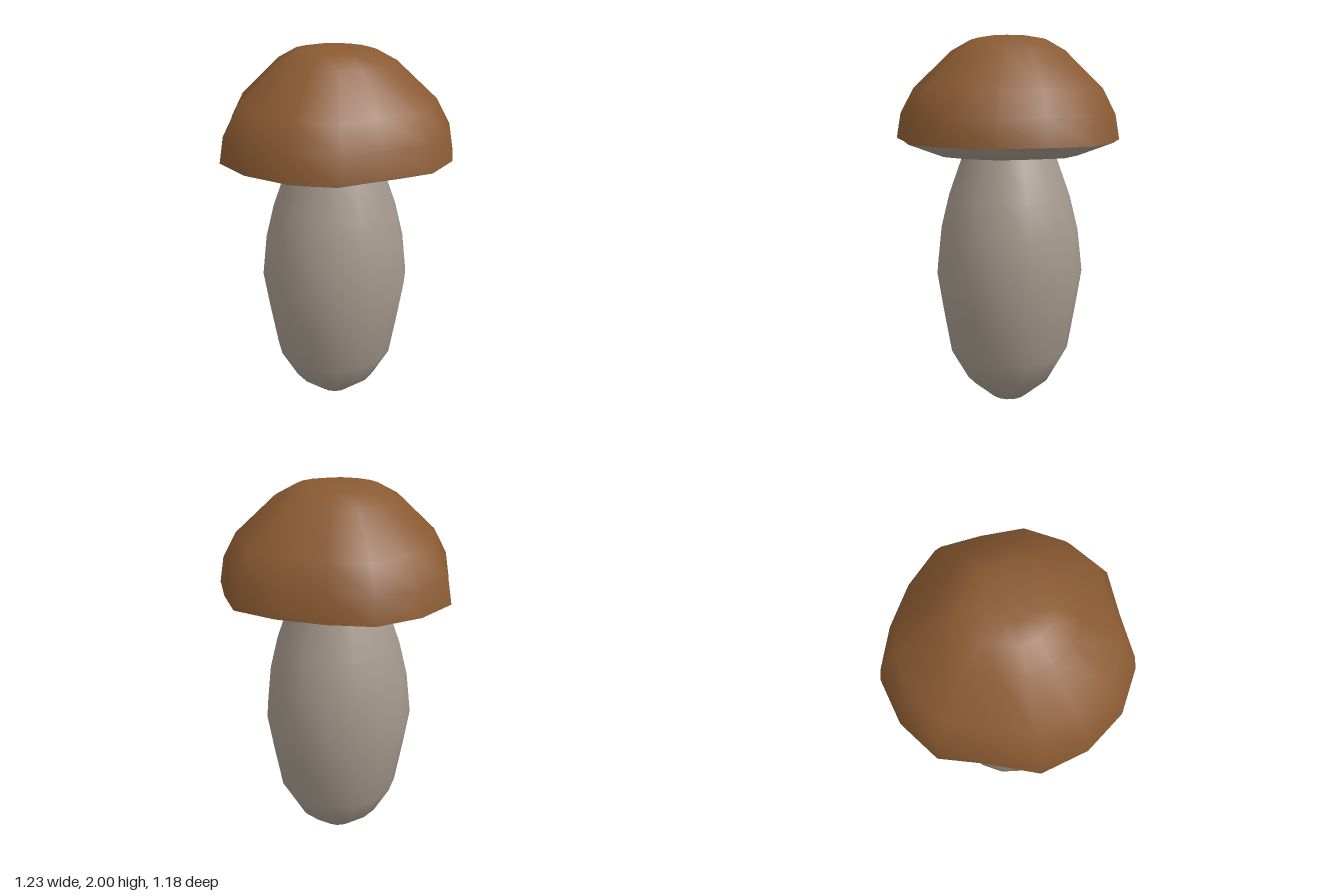
import * as THREE from 'three';

const CENTRE_Z = -0.02;

// Slightly dented cap outline, [x, z], running from front (+z) towards +x
const RIM = [
  [0, 0.59], [0.23, 0.54], [0.39, 0.375], [0.565, 0.21],
  [0.612, -0.02], [0.565, -0.26], [0.4, -0.44], [0.23, -0.59],
  [0, -0.595], [-0.235, -0.545], [-0.435, -0.46], [-0.565, -0.26],
  [-0.615, -0.025], [-0.53, 0.16], [-0.435, 0.41], [-0.235, 0.54],
];

// Skin scaled copies of the rim outline; rows are [scale, y], bottom to top
function rimLoft(rows) {
  const n = RIM.length, pos = [], index = [];
  for (const [s, y] of rows) {
    for (const [x, z] of RIM) pos.push(x * s, y, CENTRE_Z + (z - CENTRE_Z) * s);
  }
  for (let j = 0; j < rows.length - 1; j++) {
    for (let i = 0; i < n; i++) {
      const a = j * n + i, b = j * n + (i + 1) % n;
      index.push(a, b, a + n, b, b + n, a + n);
    }
  }
  const g = new THREE.BufferGeometry();
  g.setAttribute('position', new THREE.Float32BufferAttribute(pos, 3));
  g.setIndex(index);
  g.computeVertexNormals();
  return g;
}

export function createModel() {
  const group = new THREE.Group();
  group.name = 'mushroom';
  const brown = new THREE.MeshStandardMaterial({ color: 0x8a5a32 });
  const pale = new THREE.MeshStandardMaterial({ color: 0xa3978b });
  const add = (name, geometry, material) => {
    const mesh = new THREE.Mesh(geometry, material);
    mesh.name = name;
    group.add(mesh);
    return mesh;
  };

  // Domed cap
  add('cap', rimLoft([
    [1, 1.48], [0.96, 1.61], [0.84, 1.74], [0.5, 1.93],
    [0.33, 1.985], [0.18, 2], [0, 2],
  ]), brown);

  // Pale underside, sloping up to the rim
  add('capUnderside', rimLoft([[0, 1.41], [0.35, 1.41], [0.68, 1.41], [1, 1.48]]), pale);

  // Swollen stem with a pointed foot
  const profile = [
    [0, 0], [0.1, 0.045], [0.235, 0.165], [0.325, 0.33], [0.365, 0.57], [0.396, 0.775],
    [0.37, 1], [0.325, 1.18], [0.24, 1.415], [0.2, 1.5],
  ].map(([r, y]) => new THREE.Vector2(r, y));
  add('stem', new THREE.LatheGeometry(profile, 16), pale).position.z = CENTRE_Z;

  return group;
}
